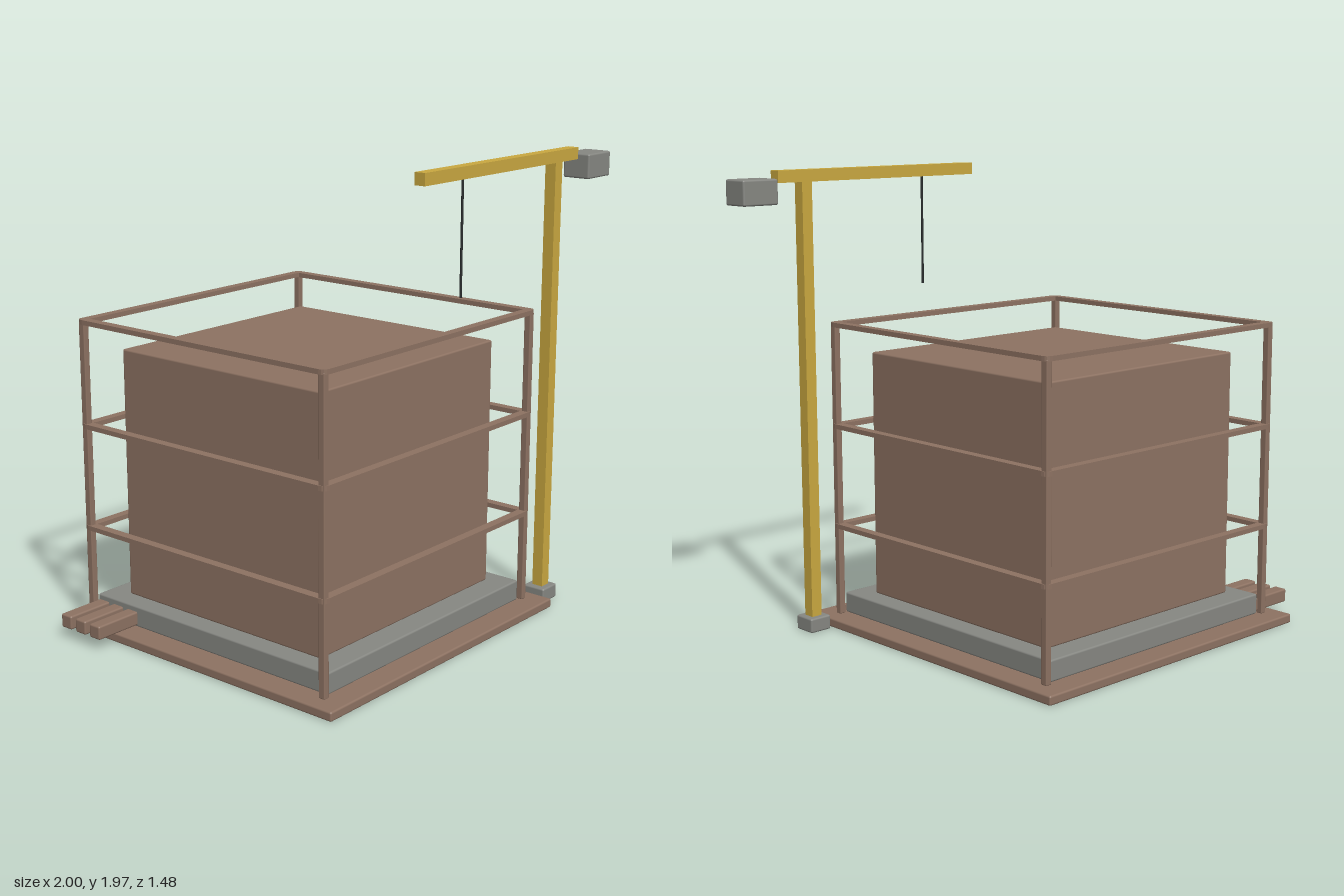
import * as THREE from 'three';
import { RoundedBoxGeometry } from 'three/addons/geometries/RoundedBoxGeometry.js';

const mat = (name, color) => {
  const m = new THREE.MeshStandardMaterial({ color });
  m.name = name;
  return m;
};

// Rounded rectangle outline centred on the origin
function roundedRect(path, hx, hz, r) {
  path.moveTo(-hx + r, -hz);
  path.lineTo(hx - r, -hz);
  path.quadraticCurveTo(hx, -hz, hx, -hz + r);
  path.lineTo(hx, hz - r);
  path.quadraticCurveTo(hx, hz, hx - r, hz);
  path.lineTo(-hx + r, hz);
  path.quadraticCurveTo(-hx, hz, -hx, hz - r);
  path.lineTo(-hx, -hz + r);
  path.quadraticCurveTo(-hx, -hz, -hx + r, -hz);
  return path;
}

export function createModel() {
  const brown = mat('brown', 0x8d7262);
  const grey = mat('grey', 0x868782);
  const yellow = mat('yellow', 0xc9a840);
  const black = mat('black', 0x262a2a);
  const model = new THREE.Group();
  model.name = 'scaffoldedBlockWithHoist';

  // Box given by its limits on each axis, with optional softened edges
  function box(parent, name, material, [x0, x1], [y0, y1], [z0, z1], r = 0) {
    const size = [x1 - x0, y1 - y0, z1 - z0];
    const geo = r ? new RoundedBoxGeometry(...size, 2, r) : new THREE.BoxGeometry(...size);
    const mesh = new THREE.Mesh(geo, material);
    mesh.name = name;
    mesh.position.set((x0 + x1) / 2, (y0 + y1) / 2, (z0 + z1) / 2);
    parent.add(mesh);
    return mesh;
  }

  // Base, plinth and main block
  box(model, 'basePlate', brown, [-0.892, 0.592], [0, 0.04], [-0.742, 0.742], 0.008);
  box(model, 'plinth', grey, [-0.786, 0.486], [0.04, 0.13], [-0.636, 0.636], 0.008);
  box(model, 'mainBlock', brown, [-0.702, 0.402], [0.13, 1.195], [-0.53, 0.53], 0.008);

  // Three short pipes at the back of the right side
  for (const z of [-0.6, -0.515, -0.43]) {
    box(model, 'pipe', brown, [-1, -0.78], [0.048, 0.107], [z - 0.03, z + 0.03], 0.008);
  }

  // Scaffold: corner posts and three rail rings
  const scaffold = new THREE.Group();
  scaffold.name = 'scaffold';
  scaffold.position.x = -0.15;
  model.add(scaffold);
  for (const sx of [-1, 1]) {
    for (const sz of [-1, 1]) {
      const x = sx * 0.661, z = sz * 0.638;
      box(scaffold, 'post', brown, [x - 0.014, x + 0.014], [0.04, 1.31], [z - 0.015, z + 0.015], 0.004);
    }
  }
  const ring = roundedRect(new THREE.Shape(), 0.68, 0.659, 0.03);
  ring.holes.push(roundedRect(new THREE.Path(), 0.641, 0.62, 0.004));
  const railGeo = new THREE.ExtrudeGeometry(ring, { depth: 0.02, bevelEnabled: false, curveSegments: 4 });
  railGeo.rotateX(-Math.PI / 2);
  for (const y of [0.425, 0.865, 1.303]) {
    const rail = new THREE.Mesh(railGeo, brown);
    rail.name = 'railRing';
    rail.position.y = y;
    scaffold.add(rail);
  }

  // Hoist: footing, mast, arm, counterweight and hanging cable
  const hoist = new THREE.Group();
  hoist.name = 'hoist';
  model.add(hoist);
  box(hoist, 'footing', grey, [0.606, 0.71], [0, 0.063], [0.588, 0.692], 0.008);
  box(hoist, 'mast', yellow, [0.634, 0.684], [0.06, 1.92], [0.615, 0.665]);
  box(hoist, 'arm', yellow, [-0.257, 0.803], [1.92, 1.97], [0.615, 0.665]);
  box(hoist, 'counterweight', grey, [0.83, 1], [1.835, 1.94], [0.577, 0.703], 0.008);
  const cable = new THREE.Mesh(new THREE.CylinderGeometry(0.005, 0.005, 0.47, 8), black);
  cable.name = 'cable';
  cable.position.set(0.018, 1.685, 0.64);
  hoist.add(cable);

  return model;
}
